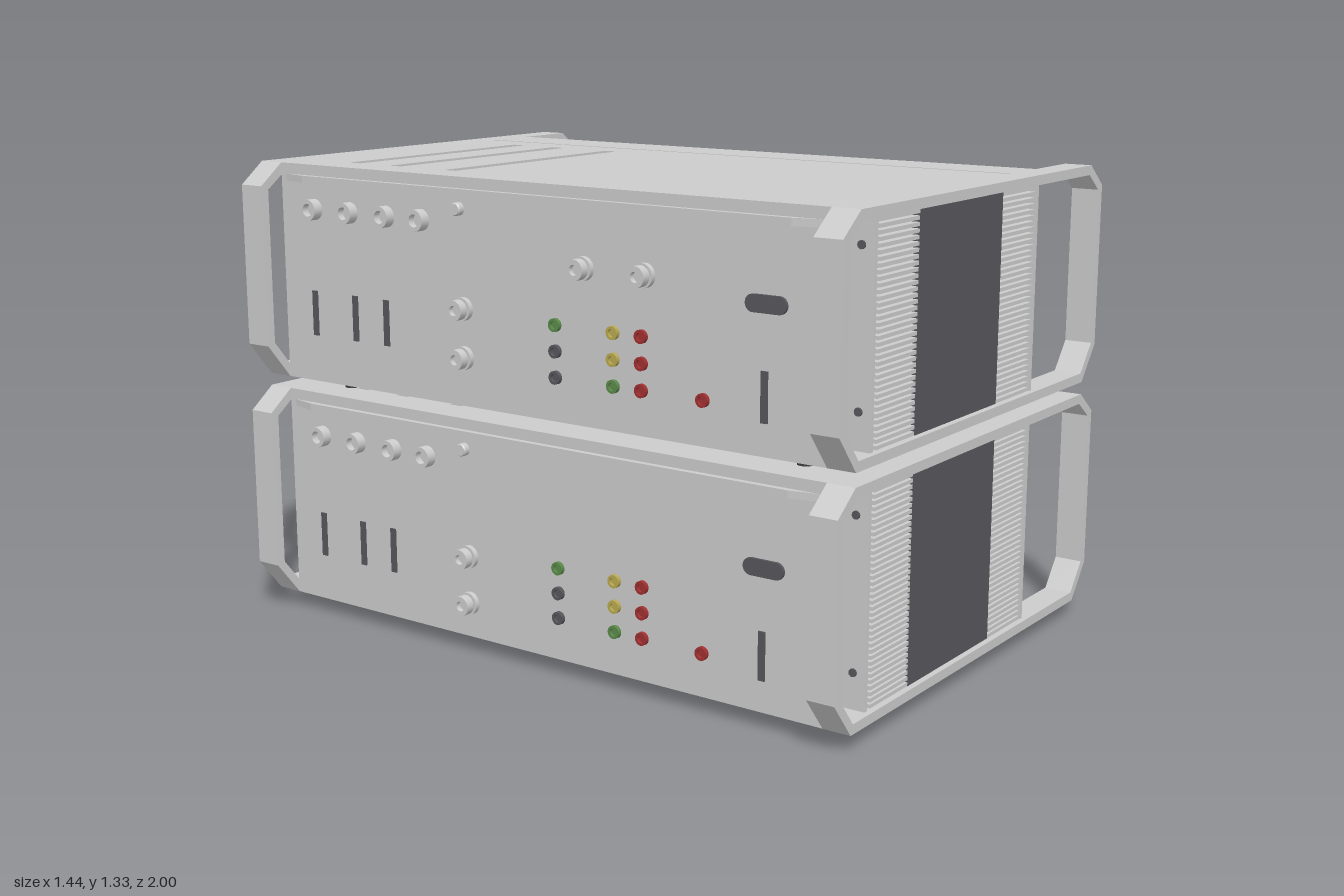
import * as THREE from 'three';

const mat = (color) => new THREE.MeshStandardMaterial({ color });
const grey = mat(0xcccccc), dark = mat(0x56565c), black = mat(0x444448), screenMat = mat(0x2c303c);
const red = mat(0xa03030), yellow = mat(0xb8a850), green = mat(0x5a8a4a);
const FRONT = 0.45, BACK = -0.64, H = 0.626;

function add(parent, name, geo, material = grey) {
  const m = new THREE.Mesh(geo, material);
  m.name = name;
  parent.add(m);
  return m;
}

// Box given by its min and max on each axis
function span(parent, name, x0, x1, y0, y1, z0, z1, material) {
  const geo = new THREE.BoxGeometry(x1 - x0, y1 - y0, z1 - z0);
  geo.translate((x0 + x1) / 2, (y0 + y1) / 2, (z0 + z1) / 2);
  return add(parent, name, geo, material);
}

const polygon = (pts, Kind = THREE.Shape) => new Kind(pts.map(([x, y]) => new THREE.Vector2(x, y)));
const extrude = (shape, depth) => new THREE.ExtrudeGeometry(shape, { depth, bevelEnabled: false, curveSegments: 8 });

// Turned part standing on the front (dir 1) or back (dir -1) panel; profile is [radius, height]
function turned(parent, name, y, z, profile, dir = 1, material = grey) {
  const v = [];
  profile.forEach((p, i) => { // doubled points keep the edges sharp
    v.push(new THREE.Vector2(...p));
    if (i > 0 && i < profile.length - 1) v.push(new THREE.Vector2(...p));
  });
  const m = add(parent, name, new THREE.LatheGeometry(v, 28), material);
  m.rotation.z = -dir * Math.PI / 2;
  m.position.set(dir > 0 ? FRONT : BACK, y, z);
  return m;
}
const button = (r, h) => [[r, 0], [r, h * 0.8], [r * 0.85, h], [0, h]];
const socket = (r, h) => [[r, 0], [r, h], [r * 0.6, h], [r * 0.6, h * 0.3], [0, h * 0.3]];
const smallKnob = [[0.057, 0], [0.057, 0.01], [0.05, 0.012], [0.047, 0.038], [0.042, 0.043], [0, 0.043]];
const longKnob = [[0.042, 0], [0.042, 0.03], [0.034, 0.032], [0.031, 0.068], [0.028, 0.073], [0, 0.073]];
const post = [[0.032, 0], [0.032, 0.015], [0.024, 0.015], [0.028, 0.02], [0.028, 0.045], [0.014, 0.045], [0.014, 0.03], [0, 0.03]];

// Stadium outline, long along y
function capsule(w, h) {
  const s = new THREE.Shape(), r = w / 2, k = h / 2 - r;
  s.absarc(0, k, r, 0, Math.PI);
  s.absarc(0, -k, r, Math.PI, Math.PI * 2);
  return s;
}

function toggle(parent, y, z, tilt) {
  const g = new THREE.Group();
  g.name = 'toggleSwitch';
  g.position.set(FRONT, y, z);
  const plate = capsule(0.04, 0.125);
  plate.holes.push(capsule(0.025, 0.1));
  add(g, 'switchPlate', extrude(plate, 0.008)).rotation.y = Math.PI / 2;
  add(g, 'switchSlot', extrude(capsule(0.027, 0.102), 0.002), dark).rotation.y = Math.PI / 2;
  const lever = new THREE.CylinderGeometry(0.016, 0.01, 0.075, 12);
  lever.translate(0, 0.0375, 0);
  add(g, 'switchLever', lever).rotation.z = -Math.PI / 2 + tilt;
  parent.add(g);
}

// Eight-sided ring serving as side frame and handles
function sideFrame(parent, z) {
  const s = polygon([[-0.64, 0], [0.64, 0], [0.72, 0.1], [0.72, 0.564], [0.64, H], [-0.64, H], [-0.72, 0.564], [-0.72, 0.1]]);
  s.holes.push(polygon([[-0.63, 0.027], [-0.694, 0.107], [-0.694, 0.552], [-0.63, 0.599],
    [0.63, 0.599], [0.694, 0.552], [0.694, 0.107], [0.63, 0.027]], THREE.Path));
  add(parent, 'handleFrame', extrude(s, 0.08)).position.z = z;
}

// Heat sink for the +z side
function heatSink() {
  const g = new THREE.Group();
  g.name = 'heatSink';
  span(g, 'sinkBase', -0.535, 0.325, 0.027, 0.599, 0.915, 0.962);
  span(g, 'centerPlate', -0.33, 0.12, 0.028, 0.598, 0.95, 0.984, dark);
  for (const [x0, x1] of [[-0.52, -0.33], [0.12, 0.315]])
    for (let i = 0; i < 36; i++) span(g, 'fin', x0, x1, 0.029 + i * 0.0159, 0.039 + i * 0.0159, 0.96, 0.984);
  for (const [x0, dir] of [[0.322, 1], [-0.548, -1]]) {
    span(g, 'endPlate', x0, x0 + 0.014, 0.027, 0.599, 0.915, 0.984);
    for (const y of [0.125, 0.53]) {
      const screw = add(g, 'screw', new THREE.CylinderGeometry(0.011, 0.011, 0.008, 12), dark);
      screw.rotation.z = Math.PI / 2;
      screw.position.set(x0 + 0.007 + dir * 0.008, y, 0.95);
    }
  }
  return g;
}

// Case, frames, feet and rear connectors shared by both units
function chassis(name, baseY) {
  const g = new THREE.Group();
  g.name = name;
  g.position.y = baseY;
  span(g, 'caseCore', -0.6, 0.42, 0.012, H - 0.025, -0.91, 0.91);
  span(g, 'caseMain', BACK, 0.284, 0, H - 0.022, -0.92, 0.92);
  span(g, 'frontSection', 0.296, FRONT, 0, H, -0.92, 0.92);
  // Top cover with three vent slots; shape y is -z
  const top = polygon([[BACK, -0.92], [0.284, -0.92], [0.284, 0.92], [BACK, 0.92]]);
  for (const z of [-0.735, -0.577, -0.37]) {
    top.holes.push(polygon([[-0.53, -z - 0.022], [-0.53, -z + 0.022], [0.195, -z + 0.022], [0.195, -z - 0.022]], THREE.Path));
    span(g, 'ventBar', -0.52, 0.185, H - 0.022, H - 0.01, z - 0.009, z + 0.009);
  }
  const cover = add(g, 'topCover', extrude(top, 0.022));
  cover.rotation.x = -Math.PI / 2;
  cover.position.y = H - 0.022;
  // Rear lip under the top edge
  const lip = add(g, 'rearLip', extrude(polygon([[BACK, -0.9], [BACK, 0.9], [-0.657, 0.82], [-0.657, -0.82]]), 0.02));
  lip.rotation.x = -Math.PI / 2;
  lip.position.y = 0.575;

  sideFrame(g, 0.92);
  sideFrame(g, -1);
  g.add(heatSink());
  const other = heatSink();
  other.children.forEach((m) => { // mirror by moving each symmetric piece
    if (m.name === 'screw') m.position.z *= -1;
    else { m.geometry.computeBoundingBox(); m.geometry.translate(0, 0, -m.geometry.boundingBox.min.z - m.geometry.boundingBox.max.z); }
  });
  g.add(other);

  for (const x of [-0.52, 0.23]) for (const z of [-0.785, 0.785]) {
    const foot = add(g, 'foot', new THREE.CylinderGeometry(0.026, 0.02, 0.046, 16), black);
    foot.position.set(x, -0.023, z);
  }

  // Rear connectors
  for (const z of [-0.79, -0.65, -0.51, -0.38]) turned(g, 'rearSocket', 0.5, z, socket(0.03, 0.03), -1);
  turned(g, 'rearButton', 0.54, -0.24, button(0.018, 0.02), -1);
  const jacks = [[0.09, [green, dark, dark]], [0.28, [yellow, yellow, green]], [0.37, [red, red, red]]];
  for (const [z, colors] of jacks)
    colors.forEach((c, i) => turned(g, 'rearJack', 0.26 - i * 0.07, z, socket(0.018, 0.012), -1, c));
  turned(g, 'rearJack', 0.12, 0.56, socket(0.018, 0.012), -1, red);
  for (const [z, y] of [[-0.8, 0.2], [-0.64, 0.2], [-0.52, 0.2], [0.74, 0.15]])
    span(g, 'rearSlot', BACK - 0.004, BACK, y - 0.065, y + 0.065, z - 0.01, z + 0.01, dark);
  const inlet = add(g, 'powerInlet', extrude(capsule(0.045, 0.12), 0.008), dark);
  inlet.rotation.set(Math.PI / 2, -Math.PI / 2, 0, 'YXZ');
  inlet.rotation.set(0, -Math.PI / 2, Math.PI / 2, 'YXZ');
  inlet.position.set(BACK, 0.38, 0.745);
  return g;
}

function upperUnit() {
  const g = chassis('upperUnit', 0.708);
  for (const z of [0.185, 0.38]) turned(g, 'rearPost', 0.417, z, post, -1);
  for (const y of [0.27, 0.135]) turned(g, 'rearPost', y, -0.23, post, -1);
  // Front controls
  for (const [z, y] of [[0.796, 0.3], [0.56, 0.3], [0.34, 0.3], [-0.195, 0.3], [-0.195, 0.502]])
    turned(g, 'knob', y, z, smallKnob);
  turned(g, 'volumeKnob', 0.395, -0.544, [[0.117, 0], [0.117, 0.008], [0.112, 0.01], [0.11, 0.066], [0.102, 0.076], [0, 0.076]]);
  [0.56, 0.458, 0.367, 0.28].forEach((z, i) => toggle(g, 0.512, z, i === 1 ? 0.45 : 0.15));
  for (const z of [0.126, 0]) toggle(g, 0.3, z, 0);
  turned(g, 'indicatorLamp', 0.546, 0.817, button(0.022, 0.025), 1, yellow);
  turned(g, 'headphoneJack', 0.08, 0.796, socket(0.022, 0.012));
  for (const z of [0.553, -0.59, -0.72]) turned(g, 'pushButton', 0.08, z, button(0.017, 0.014), 1, dark);
  span(g, 'redLine', FRONT, FRONT + 0.003, 0.14, 0.146, -0.92, 0.92, red);
  return g;
}

function lowerUnit() {
  const g = chassis('lowerUnit', 0.046);
  for (const y of [0.235, 0.1]) turned(g, 'rearPost', y, -0.23, post, -1);
  // Display window; shape x is -z
  const rect = (i, c, Kind) => {
    const a = -0.844 + i, b = 0.153 - i, d = 0.244 + i, e = 0.564 - i;
    return polygon([[a + c, d], [b - c, d], [b, d + c], [b, e - c], [b - c, e], [a + c, e], [a, e - c], [a, d + c]], Kind);
  };
  const bezel = rect(0, 0.02);
  bezel.holes.push(rect(0.015, 0.014, THREE.Path));
  for (const [name, shape, depth, m] of [['displayBezel', bezel, 0.01, grey], ['displayScreen', rect(0.013, 0.014), 0.004, screenMat]]) {
    const p = add(g, name, extrude(shape, depth), m);
    p.rotation.y = Math.PI / 2;
    p.position.x = FRONT;
  }
  // Tuning knob with grip notches
  turned(g, 'tuningKnob', 0.388, -0.544, [[0.125, 0], [0.125, 0.018], [0.114, 0.02], [0.106, 0.07], [0.098, 0.078], [0.088, 0.078], [0.086, 0.074], [0, 0.074]]);
  for (let i = 0; i < 16; i++) {
    const a = i * Math.PI / 8;
    const notch = add(g, 'gripNotch', new THREE.BoxGeometry(0.022, 0.006, 0.022), dark);
    notch.position.set(FRONT + 0.048, 0.388 + 0.109 * Math.cos(a), -0.544 + 0.109 * Math.sin(a));
    notch.rotation.x = a;
  }
  turned(g, 'selectorKnob', 0.077, 0.796, [[0.06, 0], [0.06, 0.025], [0.045, 0.028], [0.042, 0.045], [0, 0.045]]);
  for (const z of [0.404, 0.27, 0.137, -0.34, -0.48, -0.62, -0.774]) turned(g, 'toneKnob', 0.077, z, longKnob);
  turned(g, 'pushButton', 0.077, 0.646, button(0.02, 0.014), 1, dark);
  turned(g, 'indicatorLamp', 0.549, -0.81, button(0.022, 0.025), 1, yellow);
  span(g, 'redLine', FRONT, FRONT + 0.003, 0.139, 0.146, -0.92, 0.92, red);
  return g;
}

export function createModel() {
  const model = new THREE.Group();
  model.name = 'stackedAmplifiers';
  model.add(lowerUnit(), upperUnit());
  return model;
}
